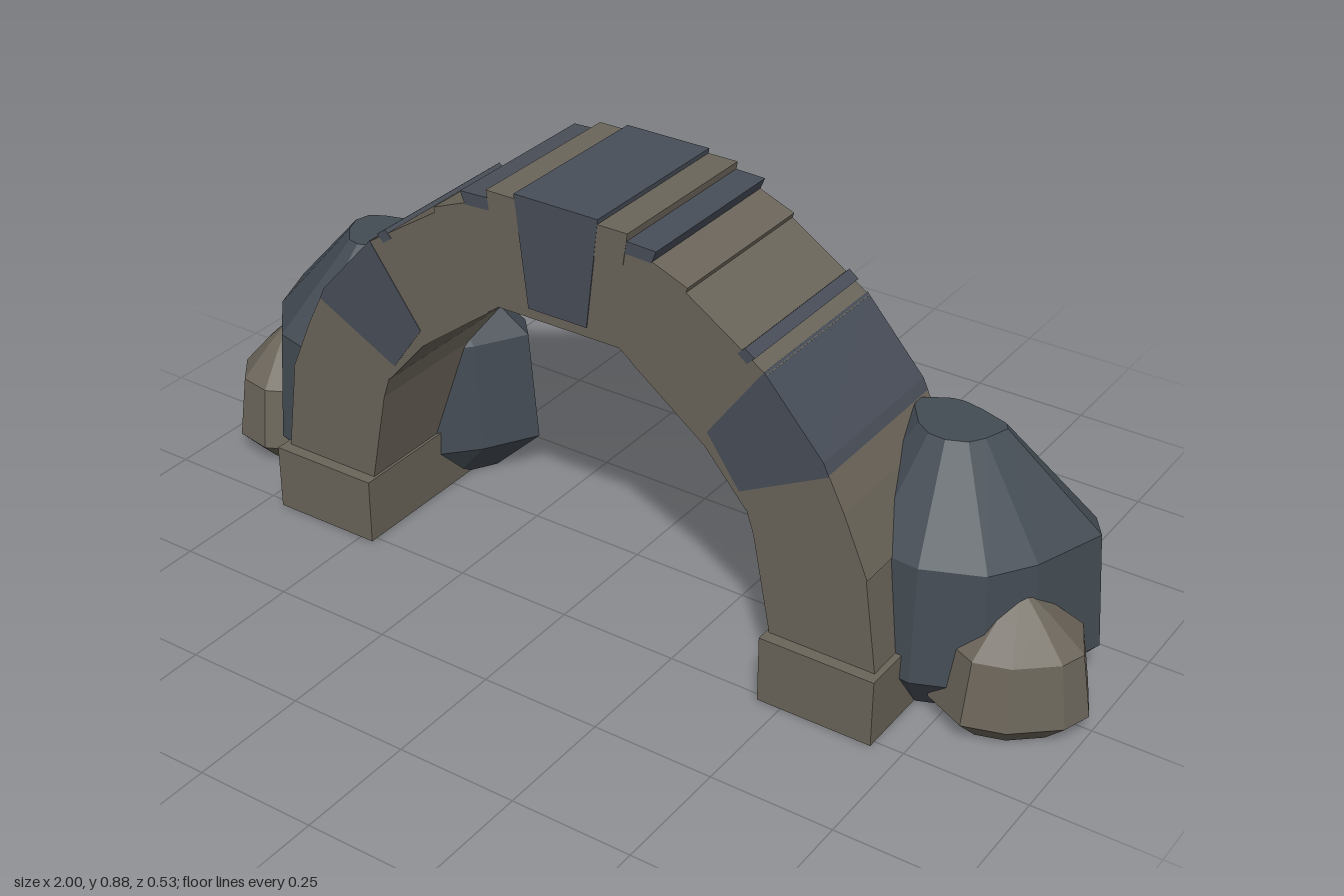
import * as THREE from 'three';

const paleStone = new THREE.MeshStandardMaterial({ color: 0x6b655a });
const slateStone = new THREE.MeshStandardMaterial({ color: 0x484e58 });
const boulderStone = new THREE.MeshStandardMaterial({ color: 0x444c54 });

const ARCH_X = -0.01, Z_BACK = -0.115, Z_FRONT = 0.24;

// Extrudes a front outline through the depth of the arch
function archBlock(name, points, material, grow = 0) {
  const shape = new THREE.Shape(points.map(([x, y]) => new THREE.Vector2(x, y)));
  const geo = new THREE.ExtrudeGeometry(shape, { depth: Z_FRONT - Z_BACK + 2 * grow, bevelEnabled: false });
  const mesh = new THREE.Mesh(geo, material);
  mesh.name = name;
  mesh.position.set(ARCH_X, 0, Z_BACK - grow);
  return mesh;
}

// Faceted boulder: one plan outline (clockwise from above), scaled at each level [y, scale, dx, dz]
function boulder(name, outline, [cx, cz], levels, material) {
  const rings = levels.map(([y, s, dx = 0, dz = 0]) => outline.map(([x, z]) =>
    [cx + dx + (x - cx) * s, y, cz + dz + (z - cz) * s]));
  const n = outline.length, pos = [];
  const tri = (...corners) => corners.forEach(c => pos.push(...c));
  const middle = ring => [0, 1, 2].map(k => ring.reduce((sum, p) => sum + p[k], 0) / n);
  const top = rings[rings.length - 1], bottom = rings[0];
  for (let i = 0; i < n; i++) {
    const j = (i + 1) % n;
    for (let r = 0; r < rings.length - 1; r++) {
      const a = rings[r][i], b = rings[r][j], c = rings[r + 1][j], d = rings[r + 1][i];
      tri(a, d, b);
      tri(b, d, c);
    }
    tri(middle(top), top[j], top[i]);
    tri(middle(bottom), bottom[i], bottom[j]);
  }
  const geo = new THREE.BufferGeometry();
  geo.setAttribute('position', new THREE.Float32BufferAttribute(pos, 3));
  geo.computeVertexNormals();
  const mesh = new THREE.Mesh(geo, material);
  mesh.name = name;
  return mesh;
}

export function createModel() {
  const model = new THREE.Group();
  model.name = 'stoneArch';

  // Voussoirs of one half, mirrored to the other
  const blocks = [
    ['legStone', [[0.69, 0.12], [0.66, 0.33], [0.62, 0.345], [0.42, 0.375], [0.47, 0.12]], paleStone, 0],
    ['springerStone', [[0.662, 0.33], [0.61, 0.45], [0.572, 0.525], [0.40, 0.425], [0.41, 0.39], [0.43, 0.33]], paleStone, 0],
    ['haunchStone', [[0.577, 0.515], [0.565, 0.54], [0.44, 0.68], [0.325, 0.52], [0.395, 0.42]], slateStone, 0.001],
    ['haunchBacking', [[0.46, 0.56], [0.36, 0.56], [0.315, 0.495], [0.41, 0.385], [0.46, 0.44]], paleStone, 0],
    ['shoulderStone', [[0.445, 0.675], [0.27, 0.79], [0.16, 0.61], [0.325, 0.485]], paleStone, 0],
    ['jointStone', [[0.42, 0.70], [0.40, 0.715], [0.385, 0.70], [0.405, 0.685]], slateStone, 0.001],
    ['upperStone', [[0.28, 0.795], [0.155, 0.845], [0.08, 0.845], [0.06, 0.63], [0.135, 0.63], [0.21, 0.575]], paleStone, 0],
    ['stepStone', [[0.215, 0.847], [0.14, 0.85], [0.14, 0.825], [0.205, 0.822]], slateStone, 0.001],
    ['crownStone', [[0.155, 0.865], [0.08, 0.865], [0.08, 0.80], [0.145, 0.80]], paleStone, 0.0015],
  ];
  for (const side of [1, -1]) {
    const half = side > 0 ? 'left' : 'right';
    for (const [name, points, material, grow] of blocks) {
      model.add(archBlock(`${half} ${name}`, points.map(([x, y]) => [x * side, y]), material, grow));
    }
    // Square footing
    const foot = new THREE.Mesh(new THREE.BoxGeometry(0.24, 0.14, 0.405), paleStone);
    foot.name = `${half} footing`;
    foot.position.set(ARCH_X + side * 0.58, 0.07, 0.0625);
    model.add(foot);
  }

  // Crown soffit and keystone
  model.add(archBlock('soffitStone', [[-0.135, 0.63], [0.135, 0.63], [0.09, 0.80], [-0.09, 0.80]], paleStone));
  model.add(archBlock('keystone', [[-0.065, 0.65], [0.065, 0.65], [0.092, 0.875], [-0.092, 0.875]], slateStone, 0.002));

  // Large boulders against the legs
  const bigLevels = [[0, 0.7], [0.09, 1], [0.33, 0.94], [0.515, 0.32]];
  model.add(boulder('left boulder', [
    [0.355, -0.13], [0.40, -0.18], [0.53, -0.255], [0.61, -0.265], [0.73, -0.24], [0.91, -0.18], [0.945, -0.13],
    [0.89, 0.03], [0.83, 0.12], [0.71, 0.17], [0.60, 0.16], [0.50, 0.09], [0.40, -0.05],
  ], [0.655, -0.055], bigLevels, boulderStone));
  model.add(boulder('right boulder', [
    [-0.94, -0.08], [-0.91, -0.18], [-0.82, -0.23], [-0.70, -0.265], [-0.39, -0.19], [-0.345, -0.14],
    [-0.41, -0.03], [-0.52, 0.09], [-0.62, 0.15], [-0.71, 0.185], [-0.79, 0.165], [-0.89, 0.05],
  ], [-0.66, -0.055], bigLevels, boulderStone));

  // Small pale boulders on the outside
  const smallLevels = [[0, 0.68], [0.045, 1], [0.175, 0.86], [0.235, 0.42], [0.27, 0.12]];
  model.add(boulder('left small boulder', [
    [0.70, 0.03], [0.75, -0.06], [0.86, -0.09], [0.95, -0.08], [1.0, 0.02], [0.98, 0.08],
    [0.90, 0.15], [0.82, 0.175], [0.73, 0.13],
  ], [0.85, 0.035], smallLevels, paleStone));
  model.add(boulder('right small boulder', [
    [-1.0, 0.0], [-0.97, -0.08], [-0.88, -0.09], [-0.78, -0.06], [-0.74, 0.04], [-0.76, 0.13],
    [-0.84, 0.17], [-0.92, 0.155], [-0.98, 0.08],
  ], [-0.87, 0.035], smallLevels, paleStone));

  return model;
}
